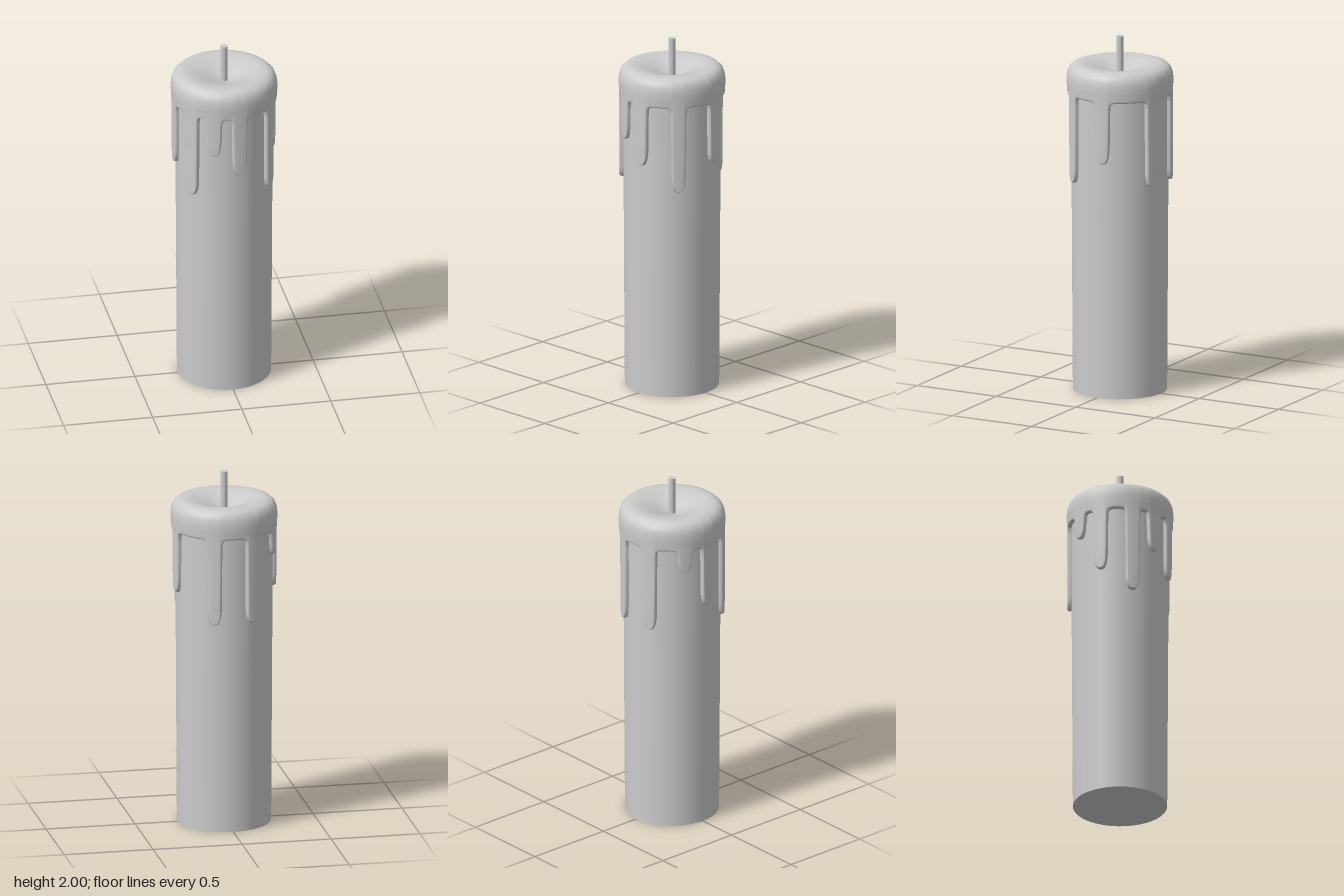
import * as THREE from 'three';

const RAD = Math.PI / 180;
const WEB_Y = 1.685; // height of the wax edge between drips

// Drips: angle from the front towards the left (degrees), tip height, half width (degrees)
const DRIPS = [
  [-50, 1.2, 7], [-22.5, 1.46, 7.5], [7, 1.34, 7.5], [52, 1.2, 7], [99, 1.34, 7],
  [158, 1.2, 7], [203, 1.2, 7], [244, 1.55, 7], [273, 1.33, 7],
];

// Lower outline of the wax as [angle, y] points around the whole candle
function waxEdge() {
  const edge = [];
  DRIPS.forEach(([angle, tip, w], i) => {
    const half = [
      [1.45, WEB_Y], [1.12, WEB_Y - 0.014], [1.0, WEB_Y - 0.05],
      [0.9, tip + 0.07], [0.75, tip + 0.03], [0.45, tip + 0.006],
    ];
    half.forEach(([k, y]) => edge.push([angle - k * w, y]));
    edge.push([angle, tip]);
    half.slice().reverse().forEach(([k, y]) => edge.push([angle + k * w, y]));

    // fill the web up to the next drip
    const next = DRIPS[(i + 1) % DRIPS.length];
    const from = angle + 1.45 * w;
    const to = next[0] - 1.45 * next[2] + (i === DRIPS.length - 1 ? 360 : 0);
    const steps = Math.max(1, Math.round((to - from) / 5));
    for (let s = 1; s < steps; s++) {
      edge.push([from + (to - from) * s / steps, WEB_Y + 0.006]);
    }
  });
  return edge;
}

// Dished cap and drips in one skin: each column runs from the wick down to the wax edge
function waxGeometry() {
  const cap = [
    [0.012, 1.788], [0.05, 1.796], [0.1, 1.817], [0.15, 1.836], [0.2, 1.847], [0.235, 1.848],
    [0.262, 1.839], [0.281, 1.821], [0.291, 1.795], [0.295, 1.76], [0.293, 1.725],
  ];
  const bevel = [[0.004, 0.288], [0.008, 0.281], [0.008, 0.262]]; // outward shift, radius
  const edge = waxEdge();
  const n = edge.length;
  const positions = [];
  const indices = [];
  const add = (angle, r, y) =>
    positions.push(r * Math.sin(angle * RAD), y, r * Math.cos(angle * RAD));

  edge.forEach(([angle, y], i) => {
    cap.forEach(([r, h]) => add(angle, r, h));
    for (let s = 1; s <= 4; s++) add(angle, 0.293 - 0.002 * s / 4, 1.725 + (y - 1.725) * s / 4);

    // rounded rim, pushed out along the outline's normal
    const a = edge[(i + n - 1) % n];
    const b = edge[(i + 1) % n];
    const dx = ((b[0] - a[0] + 720) % 360) * RAD * 0.29;
    const dy = b[1] - a[1];
    const len = Math.hypot(dx, dy);
    bevel.forEach(([d, r]) => add(angle + (dy / len) * d / 0.29 / RAD, r, y - (dx / len) * d));
  });

  const rows = cap.length + 4 + bevel.length;
  for (let i = 0; i < n; i++) {
    for (let j = 0; j < rows - 1; j++) {
      const p = i * rows + j;
      const q = ((i + 1) % n) * rows + j;
      indices.push(p, p + 1, q + 1, p, q + 1, q);
    }
  }
  const geometry = new THREE.BufferGeometry();
  geometry.setAttribute('position', new THREE.Float32BufferAttribute(positions, 3));
  geometry.setIndex(indices);
  geometry.computeVertexNormals();
  return geometry;
}

export function createModel() {
  const group = new THREE.Group();
  group.name = 'candle';
  const material = new THREE.MeshStandardMaterial({ color: 0xcccccc });
  const waxMaterial = new THREE.MeshStandardMaterial({ color: 0xcccccc, side: THREE.DoubleSide });

  const part = (name, geometry, y, mat = material) => {
    const mesh = new THREE.Mesh(geometry, mat);
    mesh.name = name;
    mesh.position.y = y;
    group.add(mesh);
  };

  // slightly tapered shaft
  part('candleBody', new THREE.CylinderGeometry(0.27, 0.26, 1.74, 40), 0.87);
  // melted top with drips
  part('meltedWax', waxGeometry(), 0, waxMaterial);
  // wick
  part('wick', new THREE.CylinderGeometry(0.02, 0.02, 0.24, 16), 1.88);

  return group;
}
